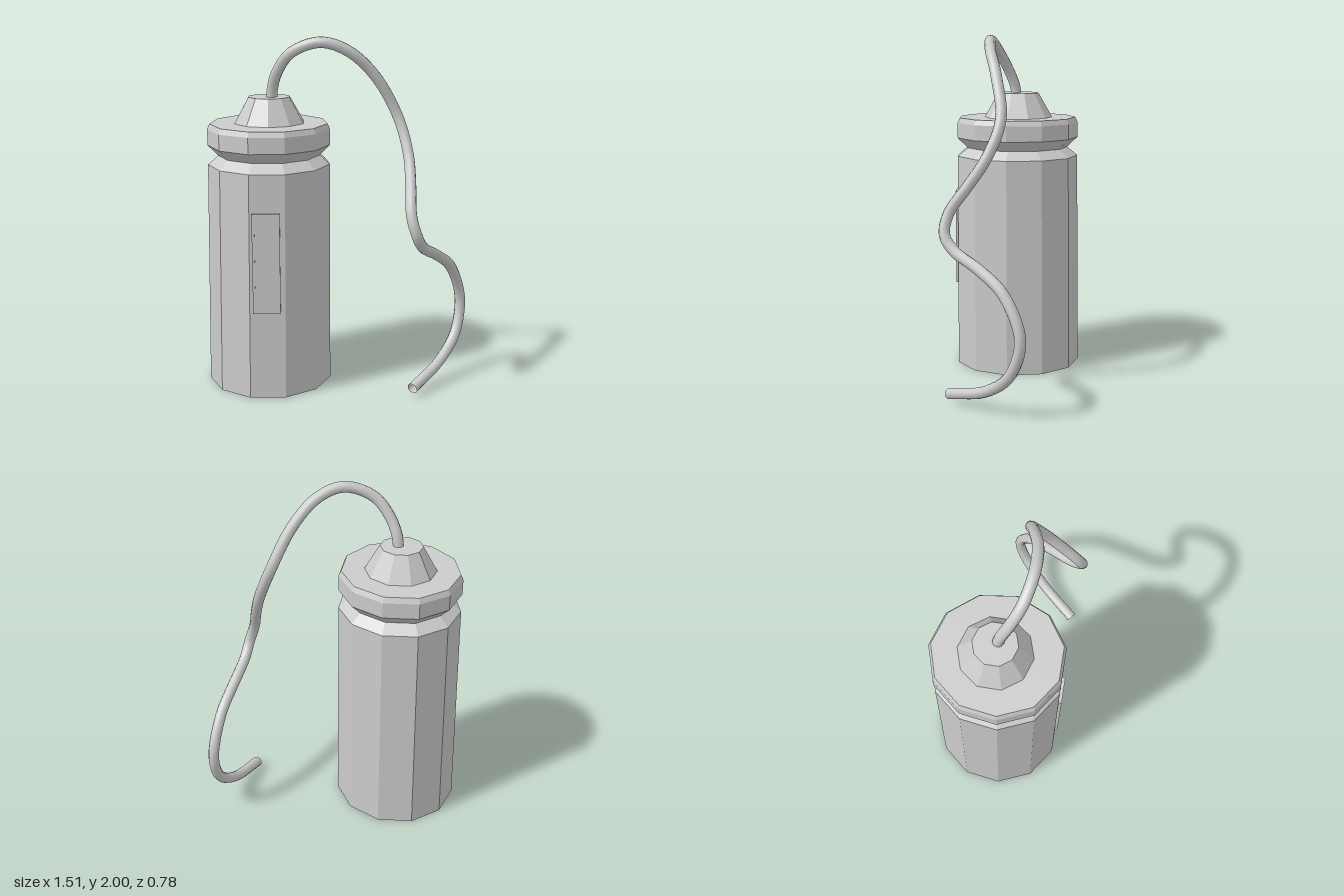
import * as THREE from 'three';

const flat = new THREE.MeshStandardMaterial({ color: 0xcccccc, flatShading: true });
const smooth = new THREE.MeshStandardMaterial({ color: 0xcccccc, side: THREE.DoubleSide });

function addMesh(parent, name, geometry, material, x = 0, y = 0, z = 0) {
  const mesh = new THREE.Mesh(geometry, material);
  mesh.name = name;
  mesh.position.set(x, y, z);
  parent.add(mesh);
  return mesh;
}

// Faceted solid of revolution with one corner pointing to the back
function facetedLathe(profile, sides) {
  const points = profile.map(([r, y]) => new THREE.Vector2(r, y));
  return new THREE.LatheGeometry(points, sides, Math.PI);
}

export function createModel() {
  const model = new THREE.Group();

  // Body with pinched neck and bevelled rim, slightly oval and leaning
  const body = facetedLathe([
    [0, 0], [0.375, 0], [0.365, 1.28], [0.303, 1.33],
    [0.365, 1.39], [0.365, 1.48], [0.351, 1.51], [0, 1.51],
  ], 11);
  body.scale(0.95, 1, 1);
  const pos = body.attributes.position;
  for (let i = 0; i < pos.count; i++) {
    const lean = Math.min(pos.getY(i) / 1.28, 1);
    pos.setX(i, pos.getX(i) + 0.01 * lean);
    pos.setZ(i, pos.getZ(i) + 0.004 * lean);
  }
  addMesh(model, 'body', body, flat, -0.4025, 0, -0.015);

  // Tapered cap on the rim
  const cap = facetedLathe([[0.205, 1.505], [0.12, 1.655], [0, 1.655]], 10);
  addMesh(model, 'cap', cap, flat, -0.39, 0, -0.02);

  // Front panel: thin frame around a slightly recessed plate
  const panel = new THREE.Group();
  panel.name = 'frontPanel';
  panel.position.set(-0.402, 0.783, 0.343);
  const w = 0.152, h = 0.565, t = 0.014;
  for (const s of [-1, 1]) {
    addMesh(panel, 'frameSide', new THREE.BoxGeometry(t, h, 0.028), flat, s * (w - t) / 2);
    addMesh(panel, 'frameEnd', new THREE.BoxGeometry(w - 2 * t, t, 0.028), flat, 0, s * (h - t) / 2);
  }
  addMesh(panel, 'plate', new THREE.BoxGeometry(w - 2 * t, h - 2 * t, 0.02), flat);
  model.add(panel);

  // Cable looping up from the cap and winding down to the floor
  const path = new THREE.CatmullRomCurve3([
    [-0.375, 1.63, -0.01], [-0.37, 1.7, 0.0], [-0.34, 1.8, 0.04], [-0.26, 1.91, 0.095],
    [-0.1, 1.968, 0.13], [0.05, 1.92, 0.125], [0.2, 1.78, 0.085], [0.33, 1.55, 0.055],
    [0.385, 1.35, 0.13], [0.392, 1.2, 0.23], [0.39, 1.05, 0.335], [0.42, 0.94, 0.355],
    [0.46, 0.86, 0.3], [0.55, 0.78, 0.165], [0.65, 0.67, 0.03], [0.72, 0.45, -0.06],
    [0.69, 0.25, -0.01], [0.58, 0.12, 0.125], [0.41, 0.045, 0.34],
  ].map((p) => new THREE.Vector3(...p)));
  addMesh(model, 'cable', new THREE.TubeGeometry(path, 90, 0.031, 10), smooth);

  return model;
}
